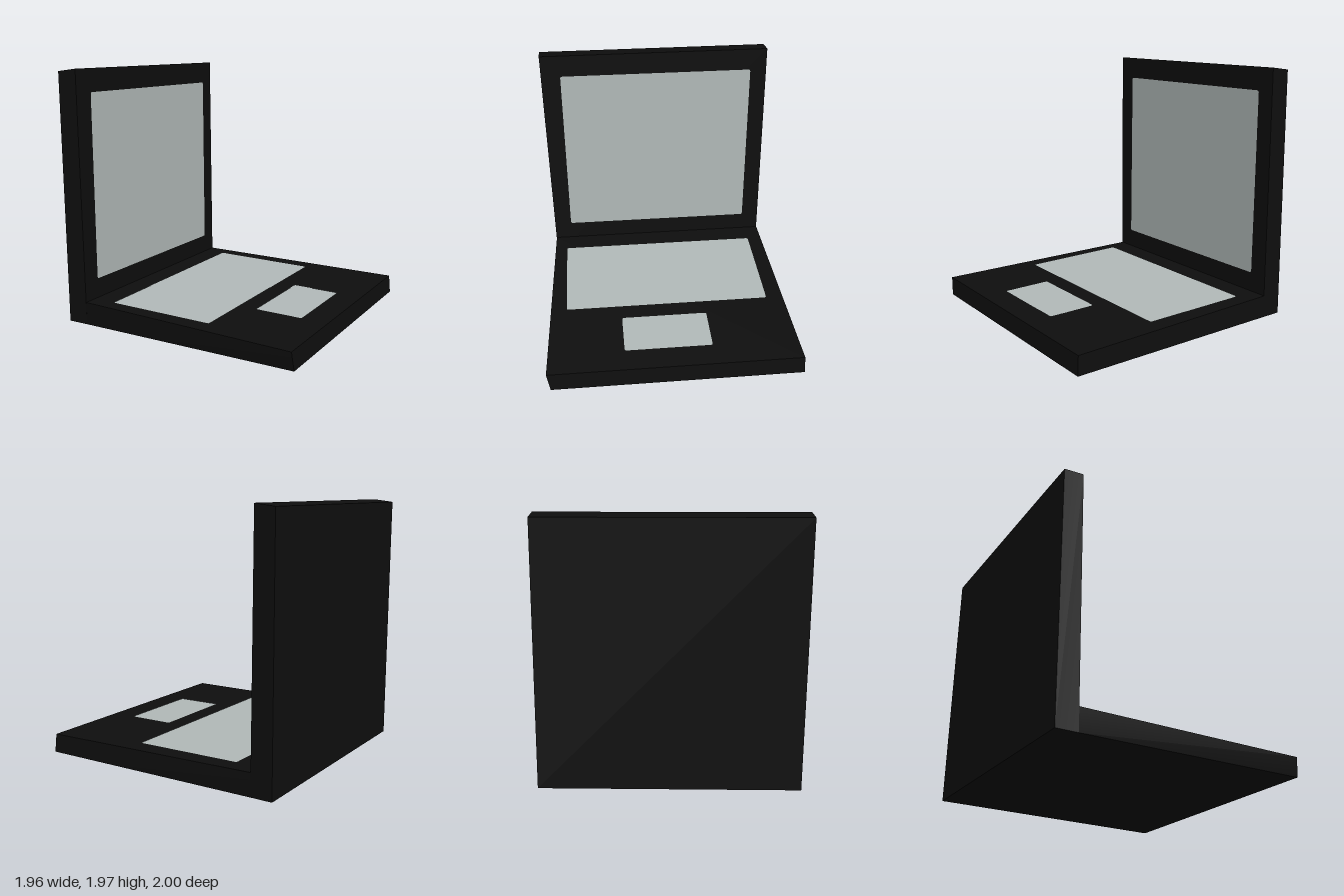
import * as THREE from 'three';

const black = new THREE.MeshStandardMaterial({ name: 'black casing', color: 0x0e0e0e });
const grey = new THREE.MeshStandardMaterial({ name: 'pale grey panel', color: 0xb2bab9 });

// Box whose eight corners are moved to slightly crooked positions.
// Corner index: 4 for +x, 2 for +y, 1 for +z.
function slab(name, corners) {
  const geo = new THREE.BoxGeometry(2, 2, 2);
  const p = geo.attributes.position;
  for (let i = 0; i < p.count; i++) {
    const k = (p.getX(i) > 0 ? 4 : 0) + (p.getY(i) > 0 ? 2 : 0) + (p.getZ(i) > 0 ? 1 : 0);
    p.setXYZ(i, ...corners[k]);
  }
  geo.computeVertexNormals();
  const mesh = new THREE.Mesh(geo, black);
  mesh.name = name;
  return mesh;
}

// Thin rectangle with softened corners, laid onto a surface by place(u, v).
function panel(name, u0, u1, v0, v1, place) {
  const r = 0.018;
  const s = new THREE.Shape();
  s.moveTo(u0 + r, v0);
  s.lineTo(u1 - r, v0);
  s.quadraticCurveTo(u1, v0, u1, v0 + r);
  s.lineTo(u1, v1 - r);
  s.quadraticCurveTo(u1, v1, u1 - r, v1);
  s.lineTo(u0 + r, v1);
  s.quadraticCurveTo(u0, v1, u0, v1 - r);
  s.lineTo(u0, v0 + r);
  s.quadraticCurveTo(u0, v0, u0 + r, v0);
  const geo = new THREE.ShapeGeometry(s, 4);
  const p = geo.attributes.position;
  for (let i = 0; i < p.count; i++) p.setXYZ(i, ...place(p.getX(i), p.getY(i)));
  geo.computeVertexNormals();
  const mesh = new THREE.Mesh(geo, grey);
  mesh.name = name;
  return mesh;
}

export function createModel() {
  const group = new THREE.Group();
  group.name = 'laptop';

  // Upright lid, leaning back very slightly
  group.add(slab('lid', [
    [-0.98, 0, -0.95], [-0.98, 0, 0.945], [-0.98, 1.95, -0.94], [-0.98, 1.95, 0.97],
    [-0.812, 0, -0.953], [-0.812, 0, 0.945], [-0.822, 1.97, -0.94], [-0.822, 1.97, 0.965],
  ]));

  // Base, widening and thinning towards its free edge
  group.add(slab('base', [
    [-0.814, 0, -0.953], [-0.814, 0, 0.945], [-0.814, 0.177, -0.953], [-0.814, 0.177, 0.945],
    [0.98, 0, -1], [0.98, 0, 0.975], [0.97, 0.145, -0.992], [0.97, 0.145, 1],
  ]));

  // Display on the sloping inner face of the lid: u runs along -z, v runs up
  const onLid = (u, v) => [-0.812 - 0.01 * v / 1.97 + 0.004, v, -u];
  group.add(panel('display', -0.803, 0.805, 0.333, 1.79, onLid));

  // Keyboard and touchpad on the sloping top of the base: u runs along x, v along -z
  const onBase = (u, v) => [u, 0.177 - 0.032 * (u + 0.814) / 1.784 + 0.004, -v];
  group.add(panel('keyboard', -0.627, 0.237, -0.847, 0.835, onBase));
  group.add(panel('touchpad', 0.383, 0.766, -0.395, 0.3, onBase));

  return group;
}
